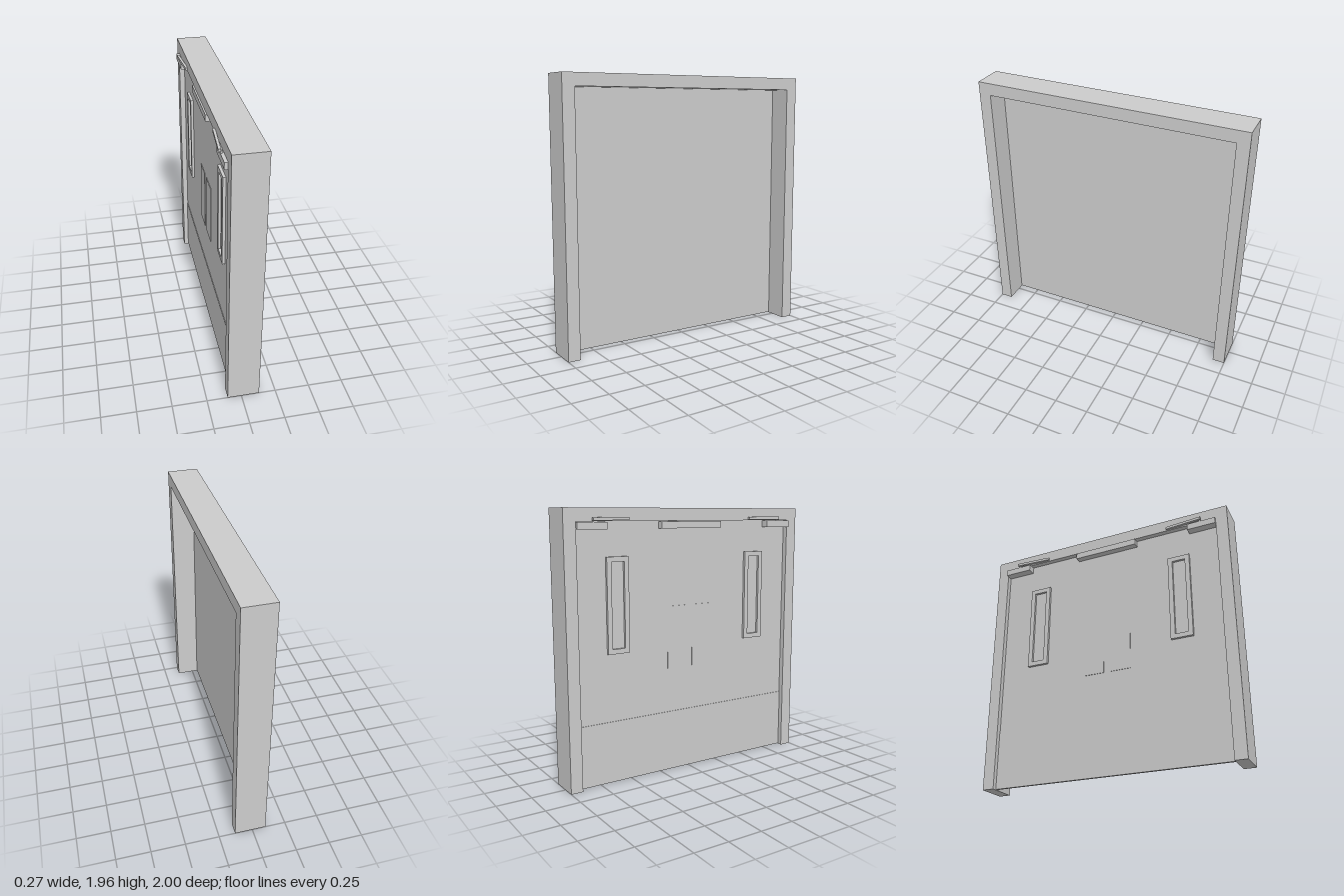
import * as THREE from 'three';

const material = new THREE.MeshStandardMaterial({ color: 0xcccccc, flatShading: true });

function box(parent, name, [x0, x1], [y0, y1], [z0, z1]) {
  const mesh = new THREE.Mesh(new THREE.BoxGeometry(x1 - x0, y1 - y0, z1 - z0), material);
  mesh.name = name;
  mesh.position.set((x0 + x1) / 2, (y0 + y1) / 2, (z0 + z1) / 2);
  parent.add(mesh);
  return mesh;
}

// Extrudes a profile drawn in (z, y) across the thickness x0..x1.
function slab(parent, name, shape, x0, x1) {
  const geometry = new THREE.ExtrudeGeometry(shape, { depth: x1 - x0, bevelEnabled: false });
  geometry.rotateY(-Math.PI / 2); // profile x becomes z, depth runs towards -x
  const mesh = new THREE.Mesh(geometry, material);
  mesh.name = name;
  mesh.position.x = x1;
  parent.add(mesh);
  return mesh;
}

const polygon = (pts) => pts.map(([a, b]) => new THREE.Vector2(a, b));
const rect = (z0, z1, y0, y1) => polygon([[z0, y0], [z1, y0], [z1, y1], [z0, y1]]);

const FACE = -0.06; // hardware side of the door leaves

function createLeaf(side) {
  const leaf = new THREE.Group();
  leaf.name = side < 0 ? 'backDoorLeaf' : 'frontDoorLeaf';
  const span = (a, b) => (side < 0 ? [-b, -a] : [a, b]);

  box(leaf, 'doorPanel', [FACE, -0.045], [0.004, 1.87], span(0, 0.91));
  box(leaf, 'kickPlate', [FACE - 0.004, FACE], [0.004, 0.457], span(0, 0.91));
  box(leaf, 'pushPlate', [FACE - 0.004, FACE], [0.79, 1.255], span(0.03, 0.186));

  // Raised window surround with the pane set back inside it
  const surround = new THREE.Shape(rect(...span(0.51, 0.68), 0.95, 1.63));
  surround.holes.push(new THREE.Path(rect(...span(0.545, 0.645), 0.985, 1.595).reverse()));
  slab(leaf, 'windowSurround', surround, FACE - 0.02, FACE);
  box(leaf, 'windowPane', [FACE - 0.002, FACE], [0.985, 1.595], span(0.545, 0.645));

  // Door closer: body, spindle and slanted arm
  box(leaf, 'closerBody', [-0.122, FACE], [1.817, 1.866], span(0.69, 0.91));
  const spindle = new THREE.Mesh(new THREE.CylinderGeometry(0.007, 0.007, 0.02, 12), material);
  spindle.name = 'closerSpindle';
  spindle.position.set(-0.112, 1.873, side * 0.79);
  leaf.add(spindle);
  const arm = box(leaf, 'closerArm', [-0.009, 0.009], [1.876, 1.896], [-0.14, 0.14]);
  arm.position.x = -0.116;
  arm.position.z = side * 0.66;
  arm.rotation.y = -side * 0.073;
  box(leaf, 'armBracket', [-0.112, -0.1], [1.876, 1.896], span(0.517, 0.54));
  return leaf;
}

export function createModel() {
  const model = new THREE.Group();
  model.name = 'doubleDoor';

  // Deep U-shaped frame
  slab(model, 'doorFrame', new THREE.Shape(polygon([
    [-1, 0], [-0.91, 0], [-0.91, 1.87], [0.91, 1.87], [0.91, 0], [1, 0], [1, 1.96], [-1, 1.96],
  ])), -0.1, 0.13);

  for (const side of [-1, 1]) model.add(createLeaf(side));

  // Block under the head of the frame, across both leaves
  box(model, 'closingCoordinator', [-0.11, FACE], [1.817, 1.866], [-0.256, 0.256]);
  return model;
}
